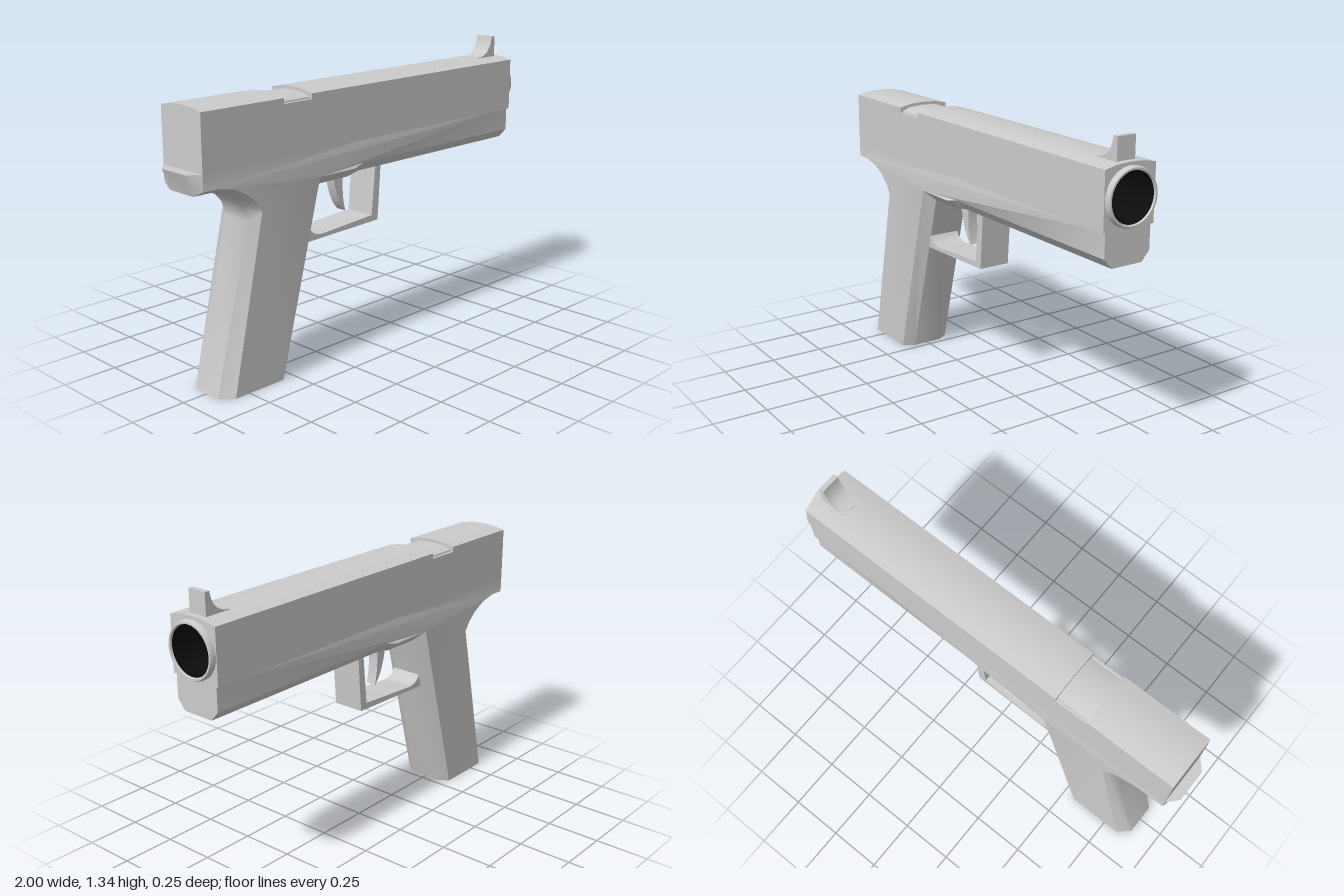
import * as THREE from 'three';
import { toCreasedNormals } from 'three/addons/utils/BufferGeometryUtils.js';

const grey = new THREE.MeshStandardMaterial({ color: 0xcccccc });
const dark = new THREE.MeshStandardMaterial({ color: 0x0c0c0c, side: THREE.DoubleSide });
const BORE_Y = 1.104, BORE_R = 0.106;

function add(group, name, geometry, material = grey, crease = 0.72) {
  const mesh = new THREE.Mesh(toCreasedNormals(geometry, crease), material);
  mesh.name = name;
  group.add(mesh);
  return mesh;
}

// Side profile extruded evenly about z = 0
function sidePlate(shape, halfWidth) {
  const g = new THREE.ExtrudeGeometry(shape, { depth: halfWidth * 2, bevelEnabled: false, curveSegments: 10 });
  return g.translate(0, 0, -halfWidth);
}

// Mirrored half section [z, y] extruded along x
function alongX(half, x0, x1, bore) {
  const pts = [...half, ...half.filter(p => p[0] > 0).reverse().map(([z, y]) => [-z, y])];
  const shape = new THREE.Shape(pts.map(p => new THREE.Vector2(...p)));
  if (bore) shape.holes.push(new THREE.Path().absarc(0, BORE_Y, BORE_R, 0, Math.PI * 2, true));
  const g = new THREE.ExtrudeGeometry(shape, { depth: x1 - x0, bevelEnabled: false, curveSegments: 32 });
  return g.rotateY(Math.PI / 2).translate(x0, 0, 0);
}

// Chamfered body: a side outline at full width and a centre outline at inner width.
// Each row: side x, side y, centre x, centre y, side half-width
function chamferedBody(rows, inner) {
  const n = rows.length, pos = [], index = [];
  for (const [side, sign] of [[true, -1], [false, -1], [false, 1], [true, 1]])
    for (const [sx, sy, cx, cy, w] of rows)
      side ? pos.push(sx, sy, sign * w) : pos.push(cx, cy, sign * inner);
  for (let k = 0; k < 3; k++)
    for (let i = 0; i < n; i++) {
      const j = (i + 1) % n, a = k * n + i, b = k * n + j;
      index.push(a, b, b + n, a, b + n, a + n);
    }
  const outline = rows.map(r => new THREE.Vector2(r[0], r[1]));
  for (const [a, b, c] of THREE.ShapeUtils.triangulateShape(outline, []))
    index.push(a, c, b, a + 3 * n, b + 3 * n, c + 3 * n);
  const g = new THREE.BufferGeometry();
  g.setAttribute('position', new THREE.Float32BufferAttribute(pos, 3));
  g.setIndex(index);
  return g;
}

export function createModel() {
  const model = new THREE.Group();
  model.name = 'pistol';

  // Slide, with a lowered notch and a bored front
  const slide = new THREE.Group();
  slide.name = 'slide';
  model.add(slide);
  const dome = [[0, 0.98], [0.125, 0.98], [0.125, 1.224], [0.072, 1.235], [0.035, 1.238], [0, 1.239]];
  const low = [[0, 0.98], [0.125, 0.98], [0.125, 1.2], [0.112, 1.2], [0.11, 1.208], [0.07, 1.222], [0, 1.226]];
  add(slide, 'slideRear', alongX(dome, -0.955, -0.53));
  add(slide, 'slideNotch', alongX(low, -0.53, -0.375));
  add(slide, 'slideFront', alongX(dome, -0.375, 0.975, true));

  // Frame and grip in one chamfered body
  const W = 0.125, N = 0.113;
  add(model, 'frameAndGrip', chamferedBody([
    [-0.955, 0.98, -1, 0.978, W],
    [-0.955, 0.91, -0.965, 0.885, W],
    [-0.88, 0.91, -0.885, 0.885, W],
    [-0.80, 0.893, -0.81, 0.87, W],
    [-0.73, 0.856, -0.75, 0.835, W],
    [-0.685, 0.815, -0.71, 0.79, W],
    [-0.658, 0.775, -0.69, 0.73, W],
    [-0.825, 0, -0.88, 0, W],
    [-0.56, 0, -0.527, 0, W],
    [-0.333, 0.86, -0.30, 0.815, W],
    [-0.12, 0.86, -0.12, 0.815, W],
    [-0.06, 0.873, -0.05, 0.83, N],
    [0.972, 0.873, 0.972, 0.83, N],
    [0.972, 0.98, 0.972, 0.98, N],
    [-0.08, 0.98, -0.08, 0.98, N],
    [-0.12, 0.98, -0.12, 0.98, W],
  ], 0.075));

  // Muzzle ring and bore
  const ring = [[0.122, 0.96], [0.122, 0.99], [0.117, 1], [0.109, 1], [BORE_R, 0.993], [BORE_R, 0.96]];
  const lathe = pts => new THREE.LatheGeometry(pts.map(p => new THREE.Vector2(...p)), 48)
    .rotateZ(-Math.PI / 2).translate(0, BORE_Y, 0);
  add(model, 'muzzleRing', lathe(ring));
  add(model, 'bore', lathe([[0.1055, 0.992], [0.1055, -0.3], [0, -0.3]]), dark);

  // Front sight with a curved ramp
  const sight = new THREE.Shape();
  sight.moveTo(0.82, 1.225);
  sight.lineTo(0.945, 1.225);
  sight.lineTo(0.945, 1.335);
  sight.lineTo(0.922, 1.335);
  sight.bezierCurveTo(0.915, 1.28, 0.885, 1.24, 0.82, 1.24);
  add(model, 'frontSight', sidePlate(sight, 0.045));

  // Trigger guard
  const guard = new THREE.Shape();
  guard.moveTo(0.095, 0.85);
  guard.lineTo(0.06, 0.85);
  guard.lineTo(0.037, 0.605);
  guard.lineTo(-0.27, 0.586);
  guard.quadraticCurveTo(-0.33, 0.582, -0.355, 0.63);
  guard.lineTo(-0.41, 0.63);
  guard.lineTo(-0.41, 0.565);
  guard.lineTo(-0.36, 0.565);
  guard.lineTo(0.075, 0.577);
  add(model, 'triggerGuard', sidePlate(guard, 0.075));

  // Trigger
  const trigger = new THREE.Shape();
  trigger.moveTo(-0.16, 0.83);
  trigger.quadraticCurveTo(-0.14, 0.69, -0.083, 0.642);
  trigger.quadraticCurveTo(-0.108, 0.72, -0.096, 0.83);
  add(model, 'trigger', sidePlate(trigger, 0.025));

  return model;
}
